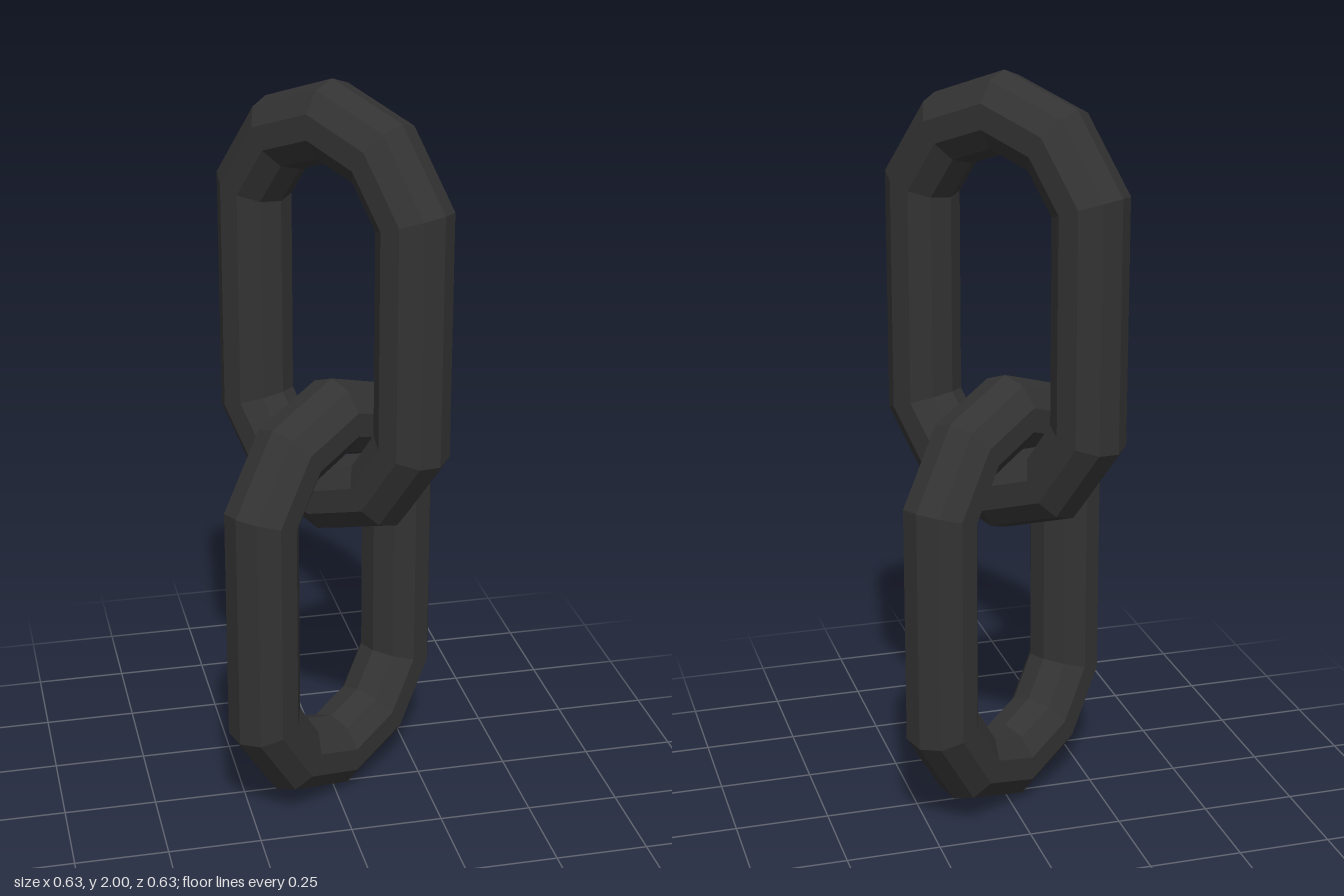
import * as THREE from 'three';

// Faceted ring pulled apart vertically into a chain link
function linkGeometry() {
  const geo = new THREE.TorusGeometry(0.284, 0.1, 10, 10);
  geo.rotateZ(Math.PI / 10); // a ring corner at top and bottom, flat sides
  const p = geo.attributes.position;
  for (let i = 0; i < p.count; i++) {
    const y = p.getY(i);
    p.setY(i, y * 1.05 + Math.sign(y) * 0.202);
  }
  geo.computeVertexNormals();
  return geo;
}

export function createModel() {
  const group = new THREE.Group();
  group.name = 'chain';
  const material = new THREE.MeshStandardMaterial({ color: 0x333333, flatShading: true });
  const geo = linkGeometry();

  const addLink = (name, y, z, degrees) => {
    const link = new THREE.Mesh(geo, material);
    link.name = name;
    link.position.set(0, y, z);
    link.rotation.y = THREE.MathUtils.degToRad(degrees);
    group.add(link);
  };

  // Two interlocked links at right angles
  addLink('upperLink', 1.395, 0, -54.2);
  addLink('lowerLink', 0.608, -0.007, 36.1);
  return group;
}
